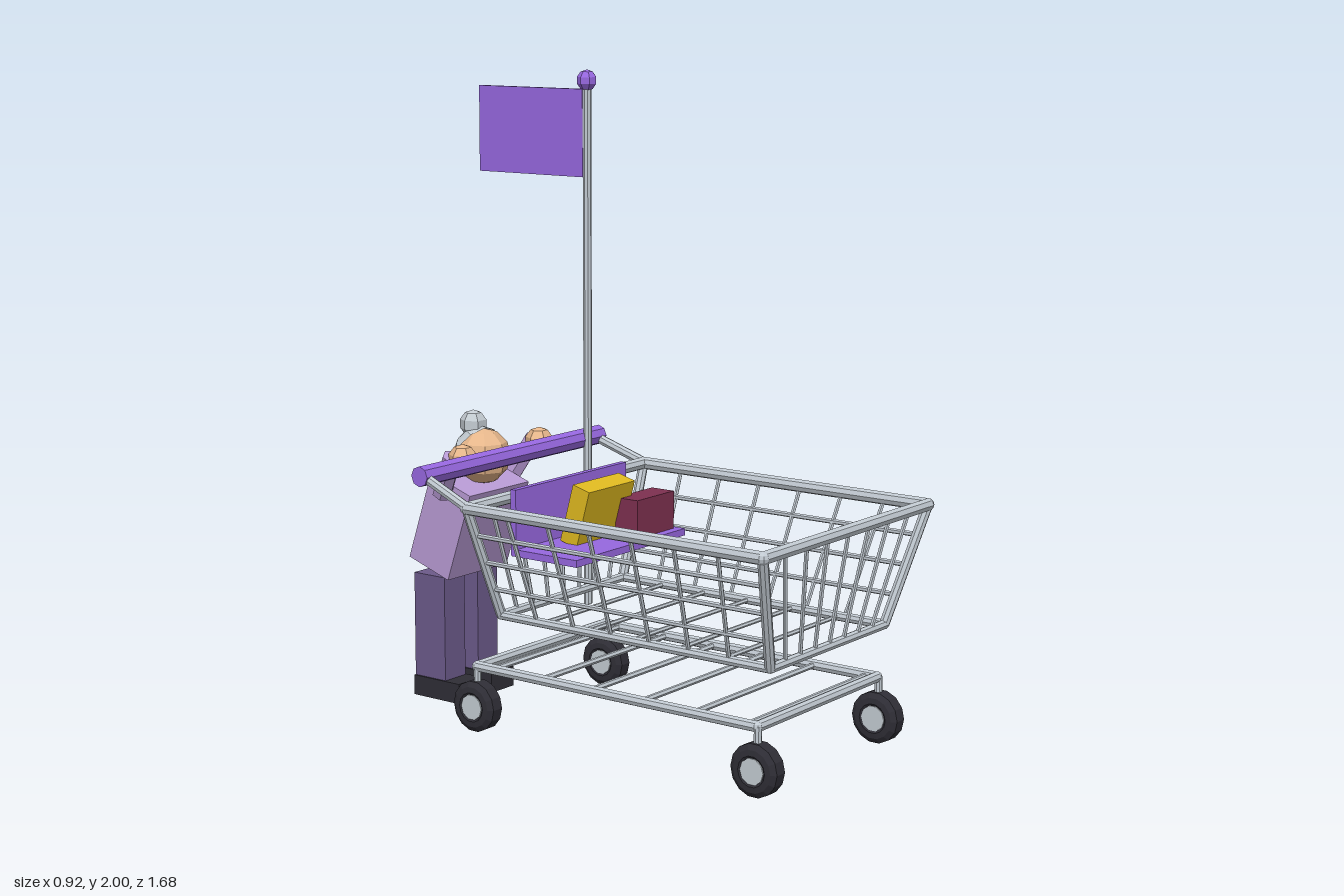
import * as THREE from 'three';

const mat = (name, color) => {
  const m = new THREE.MeshStandardMaterial({ color, flatShading: true });
  m.name = name;
  return m;
};

export function createModel() {
  const metal = mat('steel', 0xc2cad2);
  const purple = mat('purple', 0x9768e0);
  const black = mat('black', 0x2f2e36);
  const silver = mat('silver grey', 0xc4ccd2);
  const skin = mat('skin', 0xe8b88c);
  const lavender = mat('lavender', 0xb89ad4);
  const trousers = mat('trouser violet', 0x6c5a8a);
  const yellow = mat('mustard', 0xe0ba20);
  const maroon = mat('maroon', 0x7e3050);

  const model = new THREE.Group();
  model.name = 'shoppingCart';
  const group = (name) => {
    const g = new THREE.Group();
    g.name = name;
    model.add(g);
    return g;
  };
  const add = (parent, name, geo, material, x = 0, y = 0, z = 0) => {
    const m = new THREE.Mesh(geo, material);
    m.name = name;
    m.position.set(x, y, z);
    parent.add(m);
    return m;
  };
  const box = (parent, name, w, h, d, material, x, y, z) =>
    add(parent, name, new THREE.BoxGeometry(w, h, d), material, x, y, z);
  // Straight rod between two points
  const rod = (parent, name, a, b, r, material = metal, sides = 8) => {
    const p = new THREE.Vector3(...a), q = new THREE.Vector3(...b);
    const m = add(parent, name, new THREE.CylinderGeometry(r, r, p.distanceTo(q), sides), material);
    m.position.copy(p).add(q).multiplyScalar(0.5);
    m.quaternion.setFromUnitVectors(new THREE.Vector3(0, 1, 0), q.sub(p).normalize());
    return m;
  };
  // Closed rectangular frame with rounded joints
  const frame = (parent, name, corners, r) => corners.forEach((c, i) => {
    rod(parent, name, c, corners[(i + 1) % 4], r);
    add(parent, name + 'Joint', new THREE.SphereGeometry(r, 8, 6), metal, ...c);
  });
  const mix = (a, b, t) => a.map((v, i) => v + (b[i] - v) * t);

  // Basket: flared rim over a smaller floor frame
  const basket = group('basket');
  const top = [[0.44, 0.732, 0.82], [-0.44, 0.732, 0.82], [-0.44, 0.732, -0.246], [0.44, 0.732, -0.246]];
  const low = [[0.305, 0.38, 0.757], [-0.305, 0.38, 0.757], [-0.305, 0.38, -0.228], [0.305, 0.38, -0.228]];
  frame(basket, 'rim', top, 0.02);
  frame(basket, 'floorFrame', low, 0.015);
  for (let i = 0; i < 4; i++) {
    const j = (i + 1) % 4;
    const side = i % 2 === 1;
    const n = side ? 7 : 8;
    rod(basket, 'cornerPost', low[i], top[i], 0.016);
    for (let k = 1; k < n; k++)
      rod(basket, 'uprightWire', mix(low[i], low[j], k / n), mix(top[i], top[j], k / n), 0.007, metal, 6);
    if (side) for (const t of [0.25, 0.5, 0.75])
      rod(basket, 'sideWire', mix(low[i], top[i], t), mix(low[j], top[j], t), 0.008, metal, 6);
  }
  for (let k = 1; k < 6; k++) {
    const z = -0.228 + k * 0.1642;
    rod(basket, 'floorWire', [-0.305, 0.38, z], [0.305, 0.38, z], 0.007, metal, 6);
  }

  // Push handle on two arms
  const handle = group('handle');
  rod(handle, 'handleBar', [-0.442, 0.805, -0.432], [0.442, 0.805, -0.432], 0.032, purple);
  for (const s of [-1, 1])
    rod(handle, 'handleArm', [s * 0.44, 0.735, -0.246], [s * 0.42, 0.802, -0.43], 0.016);

  // Lower chassis
  const chassis = group('chassis');
  frame(chassis, 'chassisFrame', [[0.32, 0.208, 0.725], [-0.32, 0.208, 0.725], [-0.32, 0.208, -0.313], [0.32, 0.208, -0.313]], 0.017);
  for (let k = 0; k < 6; k++) {
    const z = -0.25 + k * 0.188;
    rod(chassis, 'chassisBar', [-0.32, 0.208, z], [0.32, 0.208, z], 0.009, metal, 6);
  }

  // Wheels: bevelled tyre, hub and stem
  const tyreProfile = [[0.036, -0.026], [0.046, -0.033], [0.064, -0.031], [0.08, -0.02],
    [0.08, 0.02], [0.064, 0.031], [0.046, 0.033], [0.036, 0.026]].map(p => new THREE.Vector2(...p));
  for (const x of [-0.323, 0.323]) for (const z of [0.73, -0.31]) {
    const wheel = group('wheel');
    wheel.position.set(x, 0.085, z);
    add(wheel, 'tyre', new THREE.LatheGeometry(tyreProfile, 14), black).rotation.z = Math.PI / 2;
    add(wheel, 'hub', new THREE.CylinderGeometry(0.04, 0.04, 0.064, 10), silver).rotation.z = Math.PI / 2;
    rod(wheel, 'stem', [0, 0.07, 0], [0, 0.125, 0], 0.012);
  }

  // Folding seat with two packages
  const seat = group('seat');
  box(seat, 'seatTray', 0.55, 0.022, 0.25, purple, 0, 0.571, -0.085);
  box(seat, 'seatBack', 0.55, 0.205, 0.02, purple, 0, 0.664, -0.203);
  box(seat, 'yellowPackage', 0.23, 0.187, 0.065, yellow, 0, 0.67, -0.093).rotation.x = 0.27;
  box(seat, 'maroonPackage', 0.19, 0.12, 0.085, maroon, 0.158, 0.643, -0.03);

  // Tall flag pole
  const flag = group('flag');
  rod(flag, 'flagPole', [0.345, 0.257, -0.402], [0.345, 1.96, -0.402], 0.014);
  add(flag, 'poleBall', new THREE.SphereGeometry(0.034, 7, 5), purple, 0.345, 1.966, -0.402);
  box(flag, 'flagCloth', 0.016, 0.28, 0.43, purple, 0.345, 1.798, -0.63);

  // Person leaning onto the handle
  const person = group('person');
  box(person, 'torso', 0.29, 0.3, 0.171, lavender, 0, 0.573, -0.616).rotation.x = 0.325;
  for (const s of [-1, 1]) {
    box(person, 'leg', 0.098, 0.345, 0.127, trousers, s * 0.081, 0.232, -0.675);
    box(person, 'shoe', 0.11, 0.065, 0.19, black, s * 0.081, 0.0325, -0.645);
    rod(person, 'arm', [s * 0.165, 0.685, -0.585], [s * 0.2, 0.82, -0.51], 0.032, lavender, 6);
    add(person, 'hand', new THREE.SphereGeometry(0.047, 6, 5), skin, s * 0.188, 0.815, -0.478);
  }
  add(person, 'head', new THREE.SphereGeometry(0.09, 8, 6), skin, 0, 0.787, -0.556);

  // Hair covers the crown and the back of the head, with a bun on top
  const hair = add(person, 'hair', new THREE.SphereGeometry(0.096, 8, 4, 0, Math.PI * 2, 0, Math.PI * 0.33), silver, 0, 0.787, -0.557);
  hair.rotation.x = -0.85;
  silver.side = THREE.DoubleSide;
  add(person, 'hairBun', new THREE.SphereGeometry(0.045, 6, 5), silver, 0, 0.887, -0.595);
  return model;
}
